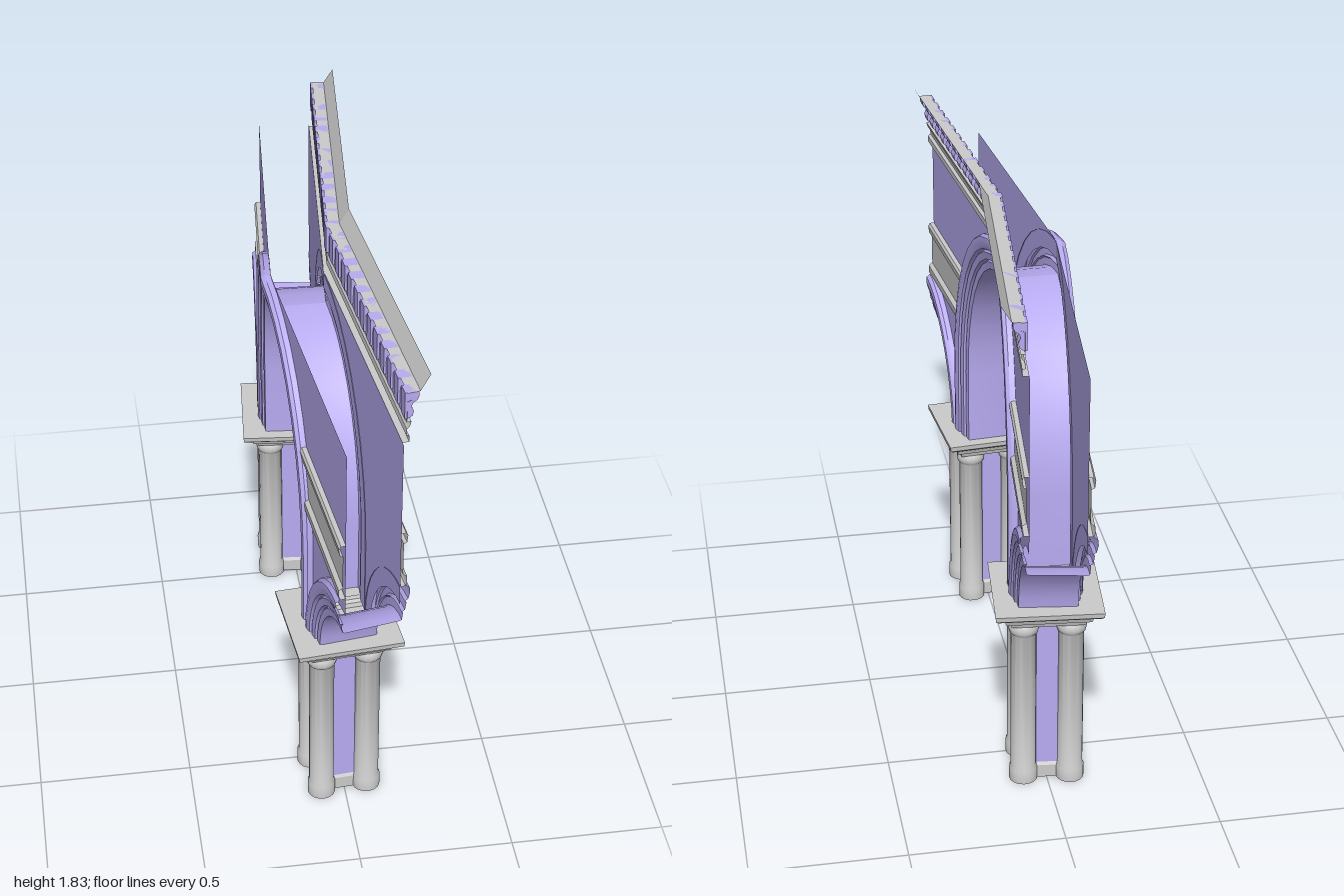
import * as THREE from 'three';
import { toCreasedNormals } from 'three/addons/utils/BufferGeometryUtils.js';

const stone = new THREE.MeshStandardMaterial({ color: 0xcccccc, side: THREE.DoubleSide });
const violet = new THREE.MeshStandardMaterial({ color: 0xb9acf2, side: THREE.DoubleSide });

const HALF = 0.085;   // half thickness between the two wall faces
const SPRING = 0.67;  // height where the arches leave the capitals
const TOP = 1.61;
const BEND = 0.09;

// Bent wall frame: s = distance from the middle, o = offset across the wall, k = which half
const place = ([s, y, o], k) => [-0.06 + BEND * s + o, y, k * s * (0.98 - 0.19 * o)];

function addMesh(parent, name, geometry, material, crease = 0.5) {
  const mesh = new THREE.Mesh(toCreasedNormals(geometry, crease), material);
  mesh.name = name;
  parent.add(mesh);
  return mesh;
}

// Grid surface: rows along u, columns along v, f(u, v) gives [s, y, o]
function sheet(parent, name, material, nu, nv, f, k, flip) {
  const pos = [], idx = [];
  for (let u = 0; u < nu; u++) for (let v = 0; v < nv; v++) pos.push(...place(f(u, v), k));
  for (let u = 0; u < nu - 1; u++) for (let v = 0; v < nv - 1; v++) {
    const a = u * nv + v, b = a + 1, c = a + nv, d = c + 1;
    if (flip) idx.push(a, c, b, b, c, d);
    else idx.push(a, b, c, b, d, c);
  }
  const g = new THREE.BufferGeometry();
  g.setAttribute('position', new THREE.Float32BufferAttribute(pos, 3));
  g.setIndex(idx);
  addMesh(parent, name, g, material);
}

const lerp = THREE.MathUtils.lerp;
const N = 9; // segments in a quarter arch

// Main arch: point at step i (0 = springing of the curve), w = 0 intrados to 1 extrados
function mainArch(i, w) {
  const t = (i / N) * Math.PI / 2;
  return [lerp(0.46, 0.586, w) * Math.cos(t), 0.93 + lerp(0.56, 0.68, w) * Math.sin(t)];
}
// Half arch at each end, cut at its crown
function sideArch(i, w) {
  const t = (i / N) * Math.PI / 2, q = 2 / 1.75;
  return [1 - lerp(0.287, 0.407, w) * Math.max(0, Math.cos(t)) ** q,
    SPRING + lerp(0.287, 0.42, w) * Math.sin(t) ** q];
}

// Stepped roll moulding: [position across the ring, projection from the wall]
const rolls = [[0, 0], [0.02, 0.008], [0.22, 0.011], [0.26, 0.006], [0.3, 0.017], [0.5, 0.021],
  [0.55, 0.015], [0.6, 0.026], [0.78, 0.032], [0.93, 0.03], [1, 0.018], [1, -0.002]];
const archProfile = [
  ...rolls.map(([w, p]) => [w, -HALF - p]).reverse(),
  ...rolls.map(([w, p]) => [w, HALF + p]),
];

// Horizontal mouldings: [height, projection]
const bandProfile = [[1.09, 0], [1.09, 0.016], [1.1, 0.021], [1.125, 0.021], [1.135, 0.008],
  [1.25, 0.008], [1.255, 0.018], [1.28, 0.021], [1.29, 0.015], [1.29, 0]];
const architrave = [[1.61, 0], [1.61, 0.02], [1.63, 0.02], [1.635, 0.01], [1.655, 0.012],
  [1.665, 0.021], [1.68, 0.025], [1.68, 0.01]];
const frieze = [[1.68, 0.012], [1.75, 0.012], [1.755, 0.03], [1.78, 0.035]];
const crown = [[1.78, 0.012], [1.78, 0.05], [1.83, 0.08]];

function buildHalf(root, k) {
  const half = new THREE.Group();
  half.name = k > 0 ? 'frontHalf' : 'backHalf';
  root.add(half);

  // Arch rings with their soffits
  sheet(half, 'mainArch', violet, N + 2, archProfile.length, (u, v) => {
    const [w, o] = archProfile[v];
    const [s, y] = mainArch(Math.max(0, u - 1), w);
    return [s, u ? y : SPRING, o];
  }, k, k > 0);
  sheet(half, 'sideArch', violet, N + 1, archProfile.length, (u, v) => {
    const [w, o] = archProfile[v];
    return [...sideArch(u, w), o];
  }, k, k < 0);

  // Lower outline of the wall, from the middle outwards
  const outline = [];
  for (let i = N; i >= 0; i--) outline.push(mainArch(i, 0.5));
  outline.push([0.5235, SPRING]);
  for (let i = 0; i <= N; i++) outline.push(sideArch(i, 0.5));

  for (const e of [-1, 1]) {
    sheet(half, e > 0 ? 'leftWall' : 'rightWall', violet, outline.length, 2,
      (u, v) => [outline[u][0], v ? TOP : outline[u][1], e * HALF], k, k * e < 0);
    // Impost band, starting inside the arch moulding
    sheet(half, 'imposteBand', stone, 2, bandProfile.length, (u, v) => {
      const [y, p] = bandProfile[v];
      const start = 0.586 * Math.sqrt(1 - ((y - 0.93) / 0.68) ** 2) - 0.012;
      return [u ? 1 : start, y, e * (HALF + p)];
    }, k, k * e < 0);
  }

  // Entablature on the left wall only
  for (const [name, prof, mat] of [['architrave', architrave, stone],
    ['frieze', frieze, violet], ['crownMoulding', crown, stone]]) {
    sheet(half, name, mat, 2, prof.length,
      (u, v) => [u * 0.985, prof[v][0], HALF + prof[v][1]], k, k < 0);
  }
  buildPier(half, k);
}

// Lathe from [radius, height] pairs
const lathe = (pts, seg, start = 0, len = Math.PI * 2) =>
  new THREE.LatheGeometry(pts.map(([r, y]) => new THREE.Vector2(r, y)), seg, start, len);
// Square version: the radius is half the side
const squareLathe = (pts) =>
  lathe(pts.map(([r, y]) => [r * Math.SQRT2, y]), 4).rotateY(Math.PI / 4);

function buildPier(parent, k) {
  const pier = new THREE.Group();
  pier.name = 'pier';
  pier.position.set(-0.008, 0, 0.582 * k);
  pier.rotation.y = BEND * k;
  parent.add(pier);

  addMesh(pier, 'pierCore', squareLathe([[0.077, 0.05], [0.077, 0.6]]), violet);
  addMesh(pier, 'pierPlinth', squareLathe([[0.083, 0], [0.083, 0.045], [0.077, 0.055]]), stone);
  addMesh(pier, 'capital', squareLathe([[0.08, 0.6], [0.118, 0.6], [0.122, 0.615], [0.135, 0.62],
    [0.14, 0.635], [0.162, 0.648], [0.17, 0.655], [0.172, 0.672], [0.09, 0.672]]), stone);

  // Engaged corner columns, three quarters round
  for (const sx of [-1, 1]) for (const sz of [-1, 1]) {
    const col = addMesh(pier, 'cornerColumn', lathe([[0.046, 0], [0.046, 0.045], [0.041, 0.055],
      [0.041, 0.56], [0.046, 0.566], [0.049, 0.578], [0.047, 0.592], [0.042, 0.6]],
    12, Math.atan2(sx, sz) - Math.PI * 0.75, Math.PI * 1.5), stone, 0.7);
    col.position.set(sx * 0.076, 0, sz * 0.076);
  }
}

// Row of scroll brackets under the crown moulding
function buildBrackets(root) {
  const row = new THREE.Group();
  row.name = 'brackets';
  root.add(row);
  const pts = [[0.005, 1.69], [0.018, 1.692], [0.029, 1.7], [0.032, 1.715], [0.025, 1.732],
    [0.03, 1.745], [0.042, 1.752], [0.047, 1.765], [0.047, 1.78], [0.005, 1.78]];
  const shape = new THREE.Shape(pts.map(([p, y]) => new THREE.Vector2(p, y)));
  const width = 0.042;
  const geo = new THREE.ExtrudeGeometry(shape, { depth: width, bevelEnabled: false });
  geo.translate(0, 0, -width / 2);
  for (let i = -12; i <= 12; i++) {
    const k = Math.sign(i);
    const bracket = addMesh(row, 'bracket', geo, violet);
    const [x, , z] = place([Math.abs(i) * 0.08, 0, HALF], k);
    bracket.position.set(x, 0, z);
    bracket.rotation.y = BEND * k;
  }
}

export function createModel() {
  const root = new THREE.Group();
  root.name = 'arcadeBay';
  for (const k of [-1, 1]) buildHalf(root, k);
  buildBrackets(root);
  return root;
}
